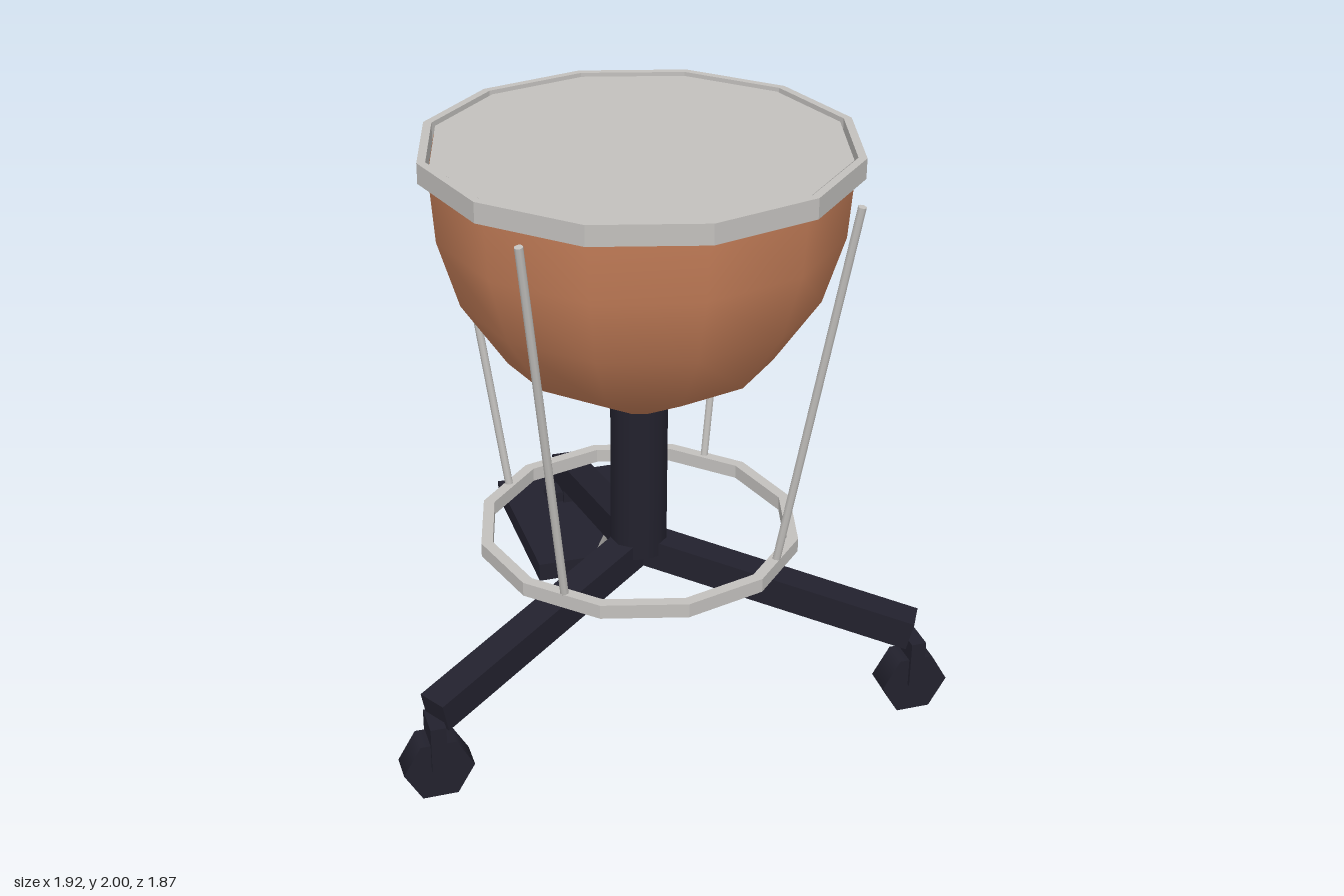
import * as THREE from 'three';

const material = (name, color) => {
  const m = new THREE.MeshStandardMaterial({ color });
  m.name = name;
  return m;
};

export function createModel() {
  const copper = material('copper', 0xc8805a);
  copper.side = THREE.DoubleSide;
  const metal = material('light metal', 0xc2c0bd);
  const skin = material('drum skin', 0xc2c0bd);
  const iron = material('dark iron', 0x22212d);

  const group = new THREE.Group();
  group.name = 'pedalDrum';
  const axisZ = 0.21; // the drum stands forward of the pedal

  const add = (name, geometry, mat, x = 0, y = 0, z = axisZ) => {
    const mesh = new THREE.Mesh(geometry, mat);
    mesh.name = name;
    mesh.position.set(x, y, z);
    group.add(mesh);
    return mesh;
  };
  const faceted = (geometry) => {
    const g = geometry.toNonIndexed();
    g.computeVertexNormals();
    return g;
  };
  const lathe = (points) =>
    new THREE.LatheGeometry(points.map(([r, y]) => new THREE.Vector2(r, y)), 12);
  const band = (inner, outer, y0, y1) =>
    faceted(lathe([[inner, y0], [outer, y0], [outer, y1], [inner, y1], [inner, y0]]));
  const rod = (name, from, to, radius) => {
    const dir = to.clone().sub(from);
    const mid = from.clone().add(to).multiplyScalar(0.5);
    const mesh = add(name, new THREE.CylinderGeometry(radius, radius, dir.length(), 8), metal, mid.x, mid.y, mid.z);
    mesh.quaternion.setFromUnitVectors(new THREE.Vector3(0, 1, 0), dir.normalize());
  };

  // Bowl, head and hoop
  add('bowl', lathe([[0, 1.07], [0.1, 1.07], [0.45, 1.275], [0.6, 1.5], [0.67, 1.73], [0.687, 1.96]]), copper);
  add('drumHead', new THREE.CylinderGeometry(0.68, 0.68, 0.02, 12), skin, 0, 1.98);
  add('hoop', band(0.692, 0.72, 1.932, 2), metal);

  // Post and lower ring
  add('post', new THREE.CylinderGeometry(0.1, 0.1, 0.6, 12), iron, 0, 0.8);
  add('lowerRing', band(0.52, 0.56, 0.555, 0.605), metal);

  // Four tension rods, leaning outward
  for (const sx of [-1, 1]) {
    for (const sz of [-1, 1]) {
      rod('tensionRod',
        new THREE.Vector3(sx * 0.368, 0.59, axisZ + sz * 0.375),
        new THREE.Vector3(sx * 0.535, 1.92, axisZ + sz * 0.542), 0.014);
    }
  }

  // Three sloping legs with casters
  const reach = 0.967, drop = 0.215;
  for (const angle of [Math.PI, Math.PI / 3, -Math.PI / 3]) {
    const dx = Math.sin(angle), dz = Math.cos(angle);
    const leg = add('leg', new THREE.BoxGeometry(0.106, 0.106, Math.hypot(reach, drop)), iron,
      dx * reach / 2, 0.514 - drop / 2, axisZ + dz * reach / 2);
    leg.rotation.set(Math.atan2(drop, reach), angle, 0, 'YXZ');

    const x = dx * 0.97, z = axisZ + dz * 0.97;
    add('casterFork', new THREE.BoxGeometry(0.052, 0.17, 0.12), iron, x, 0.19, z);
    const wheel = new THREE.CylinderGeometry(0.118, 0.118, 0.095, 6, 1, false, Math.PI / 2).rotateX(Math.PI / 2);
    add('casterWheel', wheel, iron, x, 0.103, z);
  }

  // Foot pedal and its linkage
  add('pedal', new THREE.BoxGeometry(0.47, 0.07, 0.66), iron, 0, 0.13, -0.61);
  rod('pedalLink', new THREE.Vector3(0, 0.168, -0.278), new THREE.Vector3(0, 0.43, -0.07), 0.021);

  return group;
}
